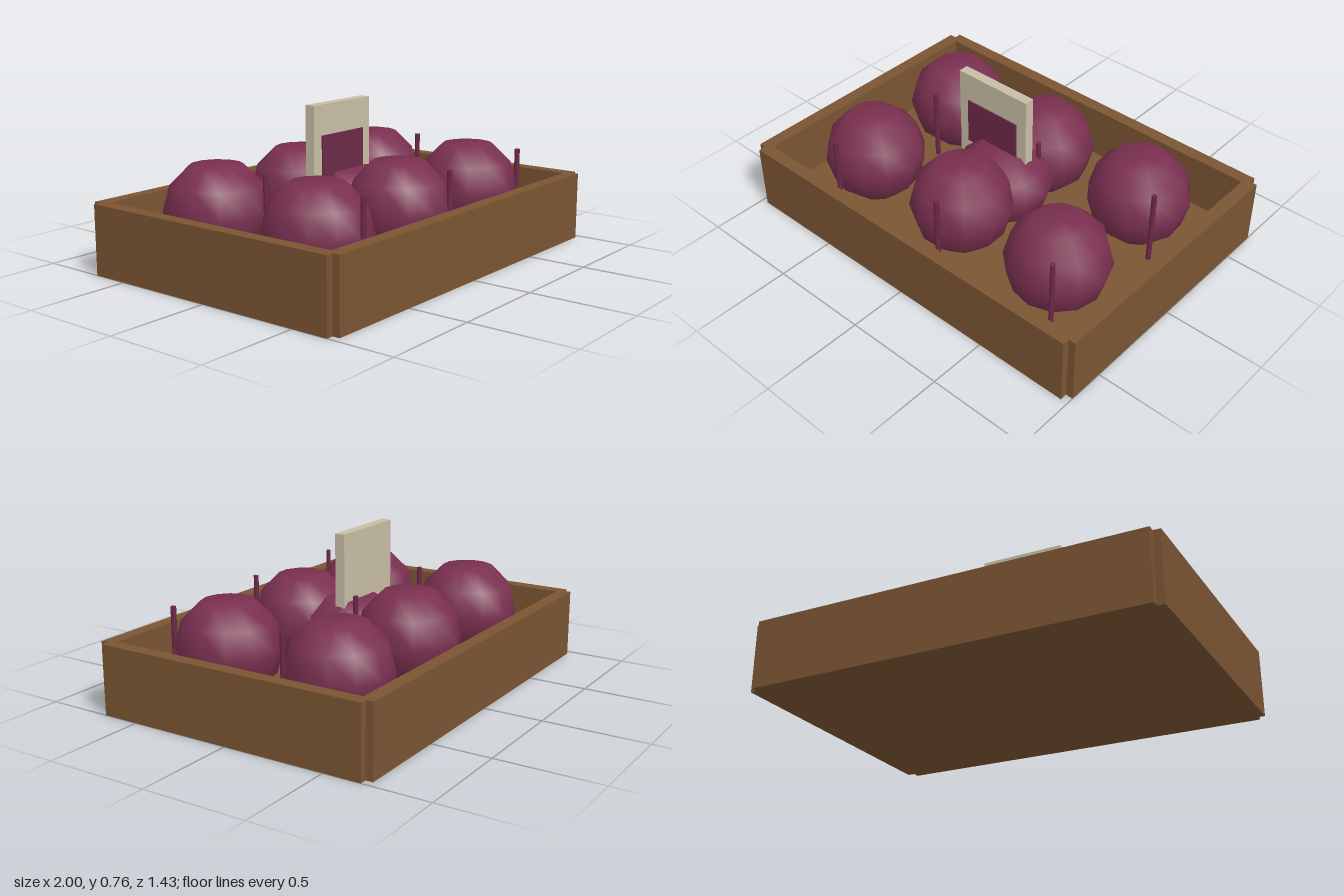
import * as THREE from 'three';

export function createModel() {
  const root = new THREE.Group();
  root.name = 'fruitTray';
  const mat = (name, color) => {
    const m = new THREE.MeshStandardMaterial({ color });
    m.name = name;
    return m;
  };
  const wood = mat('brownWood', 0x7b5533);
  const skin = mat('plumSkin', 0x7a3050);
  const dark = mat('darkPlum', 0x6d2947);
  const cream = mat('creamCard', 0xc8bea6);

  const add = (parent, name, geo, material, x, y, z) => {
    const m = new THREE.Mesh(geo, material);
    m.name = name;
    m.position.set(x, y, z);
    parent.add(m);
    return m;
  };
  const box = (name, material, w, h, d, x, y, z) =>
    add(root, name, new THREE.BoxGeometry(w, h, d), material, x, y, z);

  // Tray: floor and four walls with notched corners
  const H = 0.335;
  box('trayFloor', wood, 1.93, 0.065, 1.36, 0, 0.0325, 0);
  for (const s of [-1, 1]) {
    box(s > 0 ? 'frontWall' : 'backWall', wood, 1.93, H, 0.065, 0, H / 2, s * 0.6825);
    box(s > 0 ? 'leftWall' : 'rightWall', wood, 0.065, H, 1.36, s * 0.9675, H / 2, 0);
  }

  // Faceted round fruit with flattened ends, smooth shaded
  const profile = [[0, -0.217]];
  for (let i = 1; i <= 5; i++) {
    const a = (i * Math.PI) / 6;
    profile.push([0.25 * Math.sin(a), -0.25 * Math.cos(a)]);
  }
  profile.push([0, 0.217]);
  const fruitGeo = new THREE.LatheGeometry(profile.map(p => new THREE.Vector2(...p)), 12);
  const ridgeGeo = new THREE.CylinderGeometry(0.013, 0.013, 0.38, 6);

  const fruit = (x, y, z, turn, squash = 1) => {
    const g = new THREE.Group();
    g.name = 'fruit';
    g.position.set(x, y, z);
    g.rotation.y = turn;
    add(g, 'fruitBody', fruitGeo, skin, 0, 0, 0).scale.y = squash;
    root.add(g);
    return g;
  };

  // Two rows of three, each turned a little further, with a ridge on its side
  for (let row = 0; row < 2; row++) {
    for (let col = 0; col < 3; col++) {
      const g = fruit((col - 1) * 0.588, 0.283, row ? -0.31 : 0.29, (row + col) * 0.29);
      add(g, 'fruitRidge', ridgeGeo, dark, 0, 0, 0.248);
    }
  }
  // Lower fruit in the middle
  fruit(0, 0.248, 0, 0.15, 0.84);

  // Upright card with a coloured panel on its front
  box('signCard', cream, 0.415, 0.46, 0.05, -0.0625, 0.53, -0.02);
  box('signPanel', dark, 0.305, 0.235, 0.008, -0.0625, 0.4975, 0.008);

  return root;
}
